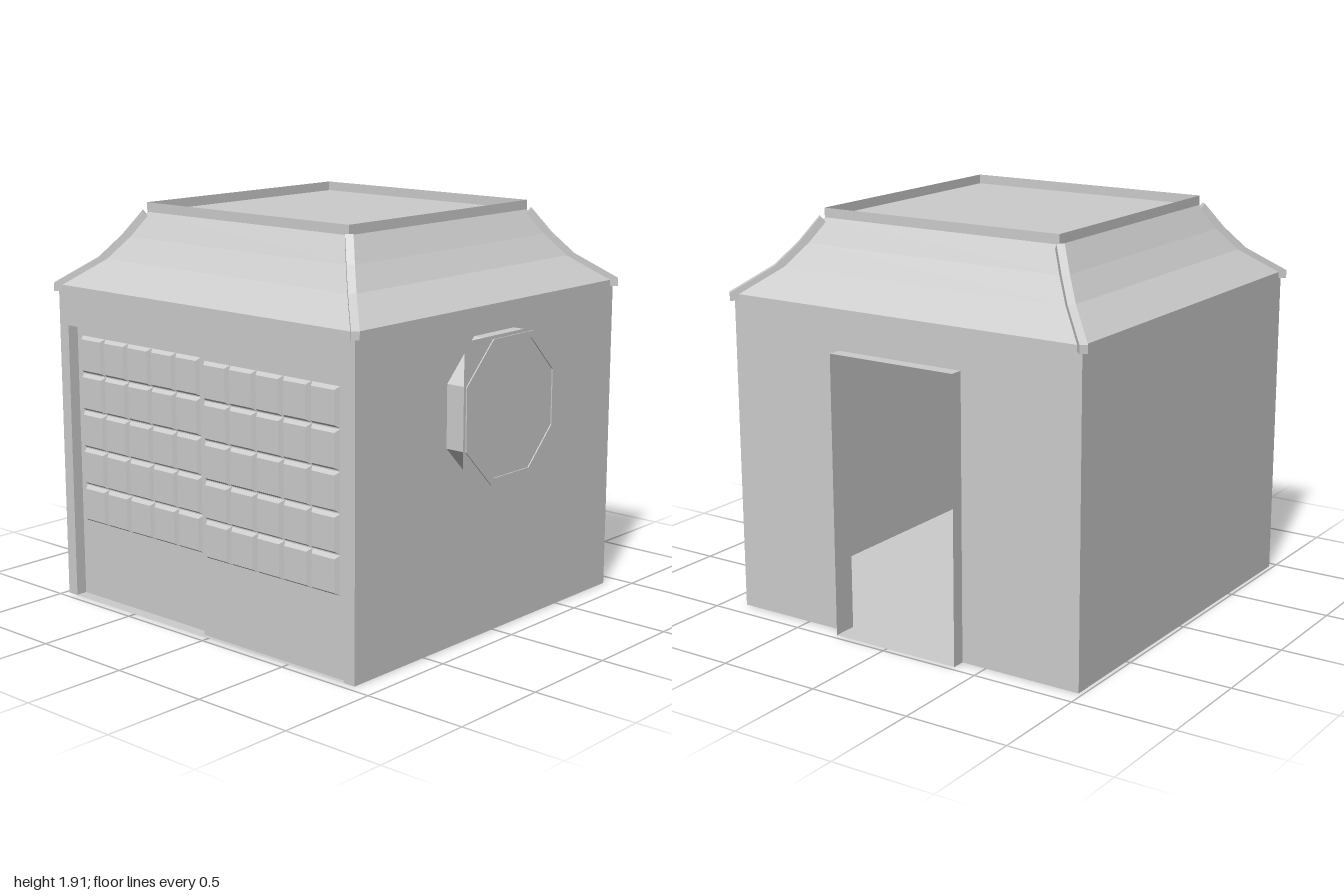
import * as THREE from 'three';

const H = 0.935;      // half width of the square room
const WALL = 1.53;    // wall height
const OPEN = 1.34;    // height of both door openings
const ROOF = [[0, WALL], [0.15, 1.65], [0.23, 1.755], [0.3, 1.87]]; // inset, height

const mat = new THREE.MeshStandardMaterial({
  color: 0xcccccc, flatShading: true, side: THREE.DoubleSide,
});

function add(parent, name, geometry, x = 0, y = 0, z = 0) {
  const flat = geometry.index ? geometry.toNonIndexed() : geometry;
  flat.computeVertexNormals();
  const mesh = new THREE.Mesh(flat, mat);
  mesh.name = name;
  mesh.position.set(x, y, z);
  parent.add(mesh);
  return mesh;
}

const polygon = (pts) => new THREE.Shape(pts.map(([x, y]) => new THREE.Vector2(x, y)));

// wall sheet with an opening that reaches the floor
const openWall = (half) => new THREE.ShapeGeometry(polygon([
  [-H, 0], [-half, 0], [-half, OPEN], [half, OPEN], [half, 0], [H, 0], [H, WALL], [-H, WALL],
]));

// three-sided lining of an opening, running from z0 to z1
function lining(parent, name, half, z0, z1) {
  const d = z1 - z0, zc = (z0 + z1) / 2;
  for (const s of [-1, 1]) {
    add(parent, name + 'Jamb', new THREE.PlaneGeometry(d, OPEN), s * half, OPEN / 2, zc)
      .rotation.y = s * -Math.PI / 2;
  }
  for (const y of [0.002, OPEN]) {
    add(parent, name + (y < 1 ? 'Sill' : 'Head'), new THREE.PlaneGeometry(2 * half, d), 0, y, zc)
      .rotation.x = y < 1 ? -Math.PI / 2 : Math.PI / 2;
  }
}

// raised pane with sloping edges
function paneGeometry(w, h, d, bevel) {
  const g = new THREE.BoxGeometry(w, h, d);
  const p = g.attributes.position;
  for (let i = 0; i < p.count; i++) {
    if (p.getZ(i) > 0) {
      p.setX(i, p.getX(i) - Math.sign(p.getX(i)) * bevel);
      p.setY(i, p.getY(i) - Math.sign(p.getY(i)) * bevel);
    }
  }
  return g;
}

const octagon = (r, cut) => [
  [-r, -r + cut], [-r + cut, -r], [r - cut, -r], [r, -r + cut],
  [r, r - cut], [r - cut, r], [-r + cut, r], [-r, r - cut],
];

function slidingDoor(name, side, z) {
  const door = new THREE.Group();
  door.name = name;
  door.position.set(side * 0.4375, 0, z);
  add(door, 'doorPanel', new THREE.BoxGeometry(0.875, OPEN, 0.025), 0, OPEN / 2, -0.0125);
  const cx = -side * 0.003;
  for (let r = 0; r < 5; r++) {
    for (let c = 0; c < 5; c++) {
      add(door, 'pane', paneGeometry(0.158, 0.178, 0.022, 0.014),
        cx + (c - 2) * 0.162, 0.833 + (r - 2) * 0.183, 0.011);
    }
  }
  return door;
}

export function createModel() {
  const model = new THREE.Group();
  const house = new THREE.Group();
  house.name = 'house';
  house.position.set(-0.045, 0, 0.025);
  model.add(house);

  // floor and walls
  add(house, 'floor', new THREE.PlaneGeometry(2 * H, 2 * H)).rotation.x = -Math.PI / 2;
  for (const s of [-1, 1]) {
    add(house, 'sideWall', new THREE.PlaneGeometry(2 * H, WALL), s * H, WALL / 2, 0)
      .rotation.y = s * Math.PI / 2;
  }
  add(house, 'frontWall', openWall(0.875), 0, 0, H);
  add(house, 'backWall', openWall(0.33), 0, 0, -H).rotation.y = Math.PI;

  // front opening with two sliding doors on separate tracks
  lining(house, 'front', 0.875, H - 0.08, H);
  house.add(slidingDoor('rearSlidingDoor', -1, H - 0.055));
  house.add(slidingDoor('foreSlidingDoor', 1, H - 0.017));

  // back doorway
  lining(house, 'doorway', 0.33, -1.0, -H + 0.055);

  // concave hipped roof with an upright rim and sunken flat top
  const profile = [...ROOF, [0.3, 1.915]]
    .map(([d, y]) => new THREE.Vector2((H - d) * Math.SQRT2, y));
  add(house, 'roof', new THREE.LatheGeometry(profile, 4, Math.PI / 4));
  const top = 2 * (H - 0.3);
  add(house, 'roofTop', new THREE.PlaneGeometry(top, top), 0, 1.87, 0).rotation.x = -Math.PI / 2;

  // ribs following the four roof corners
  const upper = ROOF.map(([d, y]) => [d * Math.SQRT2 - 0.022, y + 0.008]);
  const lower = ROOF.map(([d, y]) => [d * Math.SQRT2 + 0.012, y - 0.03]).reverse();
  const ribShape = polygon([...upper, ...lower, [-0.022, WALL - 0.03]]);
  for (const sx of [-1, 1]) {
    for (const sz of [-1, 1]) {
      const rib = new THREE.ExtrudeGeometry(ribShape, { depth: 0.036, bevelEnabled: false });
      rib.translate(0, 0, -0.018);
      add(house, 'roofRib', rib, sx * H, 0, sz * H).rotation.y = Math.atan2(sz, -sx);
    }
  }

  // octagonal window on the side wall
  const window8 = new THREE.Group();
  window8.name = 'octagonalWindow';
  window8.position.set(H, 1.073, 0);
  window8.rotation.y = Math.PI / 2;
  house.add(window8);
  add(window8, 'windowBox', new THREE.ExtrudeGeometry(polygon(octagon(0.33, 0.185)),
    { depth: 0.1, bevelEnabled: false }));
  add(window8, 'windowPane', new THREE.PlaneGeometry(0.69, 0.69), 0, 0, 0.104);
  const ring = polygon(octagon(0.33, 0.185));
  ring.holes.push(new THREE.Path(octagon(0.3, 0.17).map(([x, y]) => new THREE.Vector2(x, y))));
  add(window8, 'windowFrame', new THREE.ExtrudeGeometry(ring,
    { depth: 0.01, bevelEnabled: false }), 0, 0, 0.1);

  return model;
}
